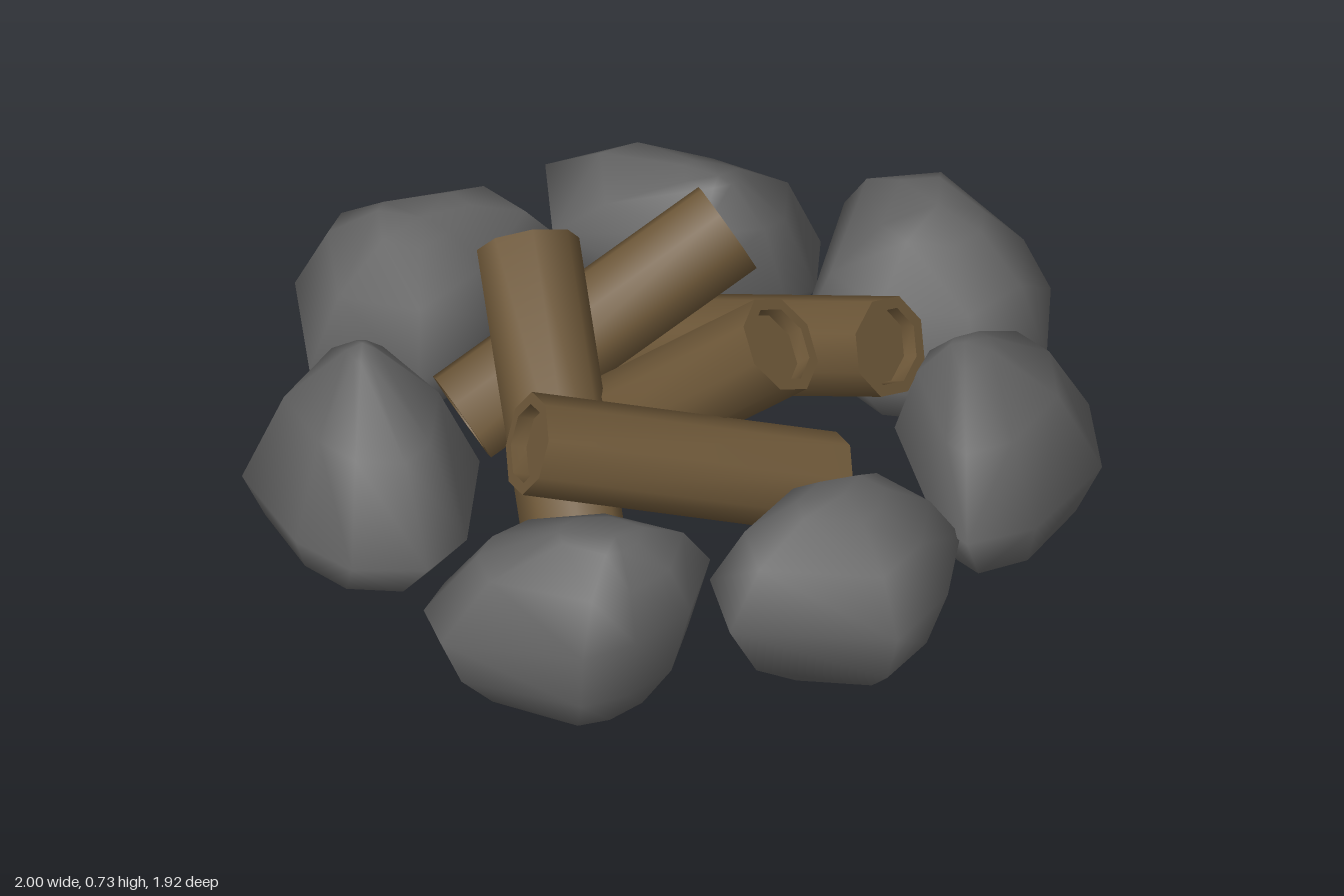
import * as THREE from 'three';
import { mergeVertices, toCreasedNormals } from 'three/addons/utils/BufferGeometryUtils.js';
import { ConvexGeometry } from 'three/addons/geometries/ConvexGeometry.js';

const stone = new THREE.MeshStandardMaterial({ color: 0x666666 });
stone.name = 'stone grey';
const wood = new THREE.MeshStandardMaterial({ color: 0x6d5738 });
wood.name = 'wood brown';

// Boulder: rings shrink from a waist outline [x, z] up to the crown and down to the base.
// waist = [height, slope along x, slope along z]; the widths size the crown and base rings.
function makeStone(name, crown, crownWidth, base, baseWidth, waist, outline) {
  const cx = outline.reduce((sum, p) => sum + p[0], 0) / outline.length;
  const cz = outline.reduce((sum, p) => sum + p[1], 0) / outline.length;
  const rim = outline.map(([x, z]) =>
    new THREE.Vector3(x, waist[0] + waist[1] * (x - cx) + waist[2] * (z - cz), z));
  const cap = (tip, width) => {
    const target = new THREE.Vector3(...tip);
    const ring = (inward, rise) => rim.map((p) => {
      const q = p.clone().lerp(target, inward);
      q.y = THREE.MathUtils.lerp(p.y, target.y, rise);
      return q;
    });
    return [...ring(0.4 * (1 - width), 0.6), ...ring(1 - width, 0.95), target];
  };
  let geometry = new ConvexGeometry([...rim, ...cap(crown, crownWidth), ...cap(base, baseWidth)]);
  // Shared corners give smooth shading
  geometry.deleteAttribute('normal');
  geometry = mergeVertices(geometry, 1e-4);
  geometry.computeVertexNormals();
  const mesh = new THREE.Mesh(geometry, stone);
  mesh.name = name;
  return mesh;
}

// Eight-sided log with a shallow hollow in both ends
function makeLog(name, high, low) {
  const a = new THREE.Vector3(...low);
  const b = new THREE.Vector3(...high);
  const axis = b.clone().sub(a);
  const h = axis.length() / 2;
  const r = 0.12, inner = 0.092, depth = 0.04;
  const profile = [[0, depth - h], [inner, depth - h], [inner, -h], [r, -h],
    [r, h], [inner, h], [inner, h - depth], [0, h - depth]]
    .map(([x, y]) => new THREE.Vector2(x, y));
  const geometry = toCreasedNormals(new THREE.LatheGeometry(profile, 8), Math.PI / 3);
  const mesh = new THREE.Mesh(geometry, wood);
  mesh.position.copy(a).add(b).multiplyScalar(0.5);
  mesh.quaternion.setFromUnitVectors(new THREE.Vector3(0, 1, 0), axis.normalize());
  mesh.name = name;
  return mesh;
}

export function createModel() {
  const model = new THREE.Group();
  model.name = 'campfire';

  // Ring of seven boulders
  const stones = new THREE.Group();
  stones.name = 'stoneRing';
  stones.add(
    makeStone('leftStone', [-0.67, 0.525, 0], 0.35, [-0.7, 0.04, 0], 0.5, [0.28, 0.12, -0.1],
      [[-1, -0.03], [-0.69, -0.36], [-0.5, -0.32], [-0.45, -0.02], [-0.5, 0.25], [-0.76, 0.32], [-0.98, 0.07]]),
    makeStone('backLeftStone', [-0.2, 0.53, -0.52], 0.2, [-0.28, 0.03, -0.64], 0.35, [0.27, -0.2, 0.35],
      [[-0.67, -0.49], [-0.63, -0.65], [-0.41, -0.78], [-0.16, -0.87], [-0.03, -0.67], [-0.04, -0.56],
        [-0.15, -0.35], [-0.47, -0.24]]),
    makeStone('backStone', [0.28, 0.535, -0.72], 0.4, [0.3, 0.01, -0.72], 0.35, [0.28, -0.08, -0.18],
      [[-0.05, -0.81], [0.12, -0.96], [0.5, -0.86], [0.61, -0.69], [0.56, -0.49], [0.31, -0.37], [0.1, -0.41]]),
    makeStone('backRightStone', [0.67, 0.585, -0.28], 0.2, [0.72, 0.01, -0.38], 0.3, [0.28, 0, 0.12],
      [[0.46, -0.37], [0.62, -0.65], [0.78, -0.62], [0.96, -0.42], [1, -0.1], [0.92, 0.06], [0.82, 0.04],
        [0.5, -0.24]]),
    makeStone('rightStone', [0.72, 0.51, 0.27], 0.35, [0.74, 0.04, 0.27], 0.45, [0.3, 0, -0.05],
      [[0.49, 0.22], [0.49, 0.48], [0.64, 0.61], [0.98, 0.42], [0.98, 0.22], [0.88, 0.03], [0.66, 0.01]]),
    makeStone('frontRightStone', [0.38, 0.505, 0.7], 0.3, [0.28, 0.02, 0.74], 0.6, [0.26, 0.2, -0.05],
      [[-0.07, 0.75], [-0.02, 0.62], [0.18, 0.48], [0.47, 0.45], [0.55, 0.64], [0.51, 0.8], [0.43, 0.9],
        [0.07, 0.96], [-0.05, 0.86]]),
    makeStone('frontLeftStone', [-0.46, 0.585, 0.53], 0.13, [-0.54, 0, 0.54], 0.35, [0.24, 0.1, -0.05],
      [[-0.7, 0.38], [-0.68, 0.7], [-0.42, 0.85], [-0.24, 0.88], [-0.08, 0.8], [-0.07, 0.66], [-0.22, 0.4],
        [-0.55, 0.28]]),
  );

  // Stacked logs, each from its raised end to its buried end
  const logs = new THREE.Group();
  logs.name = 'logPile';
  logs.add(
    makeLog('backLog', [0.505, 0.54, -0.215], [-0.245, 0.2, -0.235]),
    makeLog('backLeftLog', [-0.035, 0.575, -0.325], [-0.37, 0.24, 0.26]),
    makeLog('middleLog', [0.37, 0.64, 0.03], [-0.21, 0.12, 0.165]),
    makeLog('frontLeftLog', [-0.34, 0.62, 0.04], [0.12, 0.15, 0.48]),
    makeLog('frontRightLog', [0.04, 0.545, 0.575], [0.5, 0.28, 0.01]),
  );

  model.add(stones, logs);
  return model;
}
